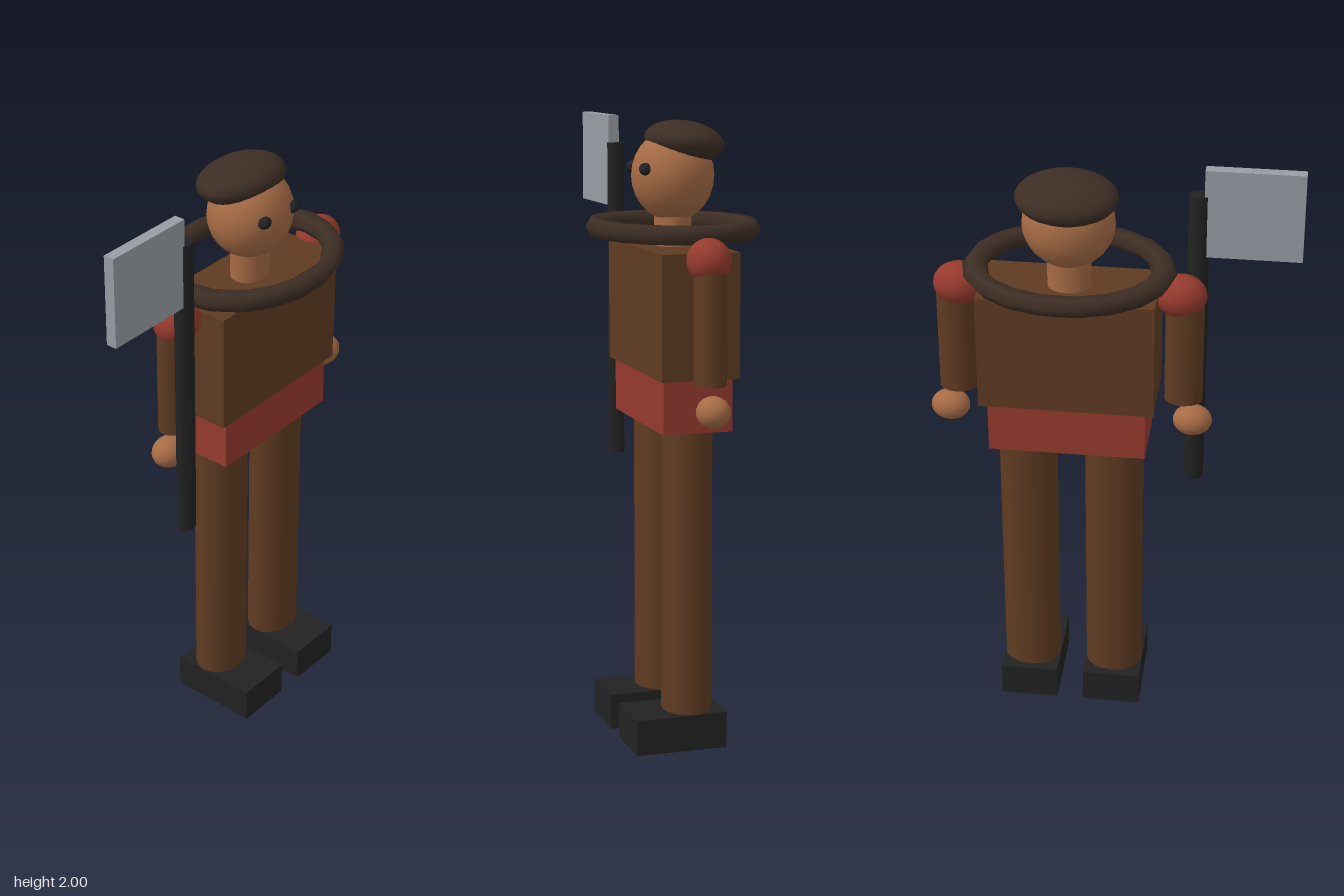
import * as THREE from 'three';

const mat = (name, color) => {
  const m = new THREE.MeshStandardMaterial({ color });
  m.name = name;
  return m;
};

export function createModel() {
  const leather = mat('brown leather', 0x5f3b22);
  const skin = mat('skin', 0xa66b45);
  const red = mat('red cloth', 0x963a2e);
  const dark = mat('dark brown', 0x3d2e24);
  const black = mat('black', 0x222222);
  const steel = mat('steel', 0x989ca5);

  const model = new THREE.Group();
  model.name = 'axeman';
  const body = new THREE.Group();
  body.name = 'body';
  body.position.x = 0.127; // the axe shifts the figure off centre
  model.add(body);

  const add = (parent, name, geometry, material, x, y, z) => {
    const mesh = new THREE.Mesh(geometry, material);
    mesh.name = name;
    mesh.position.set(x, y, z);
    parent.add(mesh);
    return mesh;
  };
  const box = (w, h, d) => new THREE.BoxGeometry(w, h, d);
  // Ellipsoid and elliptical column with given half-sizes
  const ball = (rx, ry, rz, seg = 20) => new THREE.SphereGeometry(1, seg, 14).scale(rx, ry, rz);
  const column = (rx, h, rz, seg = 16) => new THREE.CylinderGeometry(1, 1, h, seg).scale(rx, 1, rz);

  // Trunk
  add(body, 'torso', box(0.566, 0.395, 0.254), leather, 0, 1.408, 0);
  add(body, 'waist', box(0.51, 0.175, 0.228), red, 0, 1.127, 0);
  add(body, 'neck', column(0.07, 0.13, 0.058), skin, 0, 1.645, 0);

  // Collar ring around the neck
  const ring = new THREE.TorusGeometry(0.241, 0.033, 6, 18).rotateX(Math.PI / 2).scale(1.24, 1, 1);
  add(body, 'collarRing', ring, dark, 0, 1.663, 0);

  // Head with a hair cap sloping down at the back
  add(body, 'head', ball(0.147, 0.145, 0.131, 24), skin, 0, 1.827, 0);
  add(body, 'hair', ball(0.162, 0.067, 0.125, 24), dark, 0, 1.932, -0.038).rotation.x = -0.15;

  // Paired parts
  for (const [side, s] of [['left', 1], ['right', -1]]) {
    add(body, side + 'Eye', ball(0.024, 0.02, 0.019, 12), black, s * 0.069, 1.852, 0.113);
    add(body, side + 'Shoulder', ball(0.083, 0.07, 0.068), red, s * 0.353, 1.59, 0);
    add(body, side + 'Arm', column(0.062, 0.39, 0.05), leather, s * 0.367, 1.405, 0);
    add(body, side + 'Hand', ball(0.064, 0.051, 0.053), skin, s * 0.398, 1.13, 0);
    add(body, side + 'Leg', column(0.097, 0.925, 0.08), leather, s * 0.143, 0.578, 0);
    add(body, side + 'Boot', box(0.195, 0.117, 0.302), black, s * 0.143, 0.0585, 0.045);
  }

  // Axe beside the right hand
  const axe = new THREE.Group();
  axe.name = 'axe';
  model.add(axe);
  add(axe, 'axeHandle', column(0.034, 1.045, 0.028, 8), black, -0.272, 1.388, 0.069);
  add(axe, 'axeBlade', box(0.31, 0.298, 0.036), steel, -0.443, 1.851, 0.07);

  return model;
}
